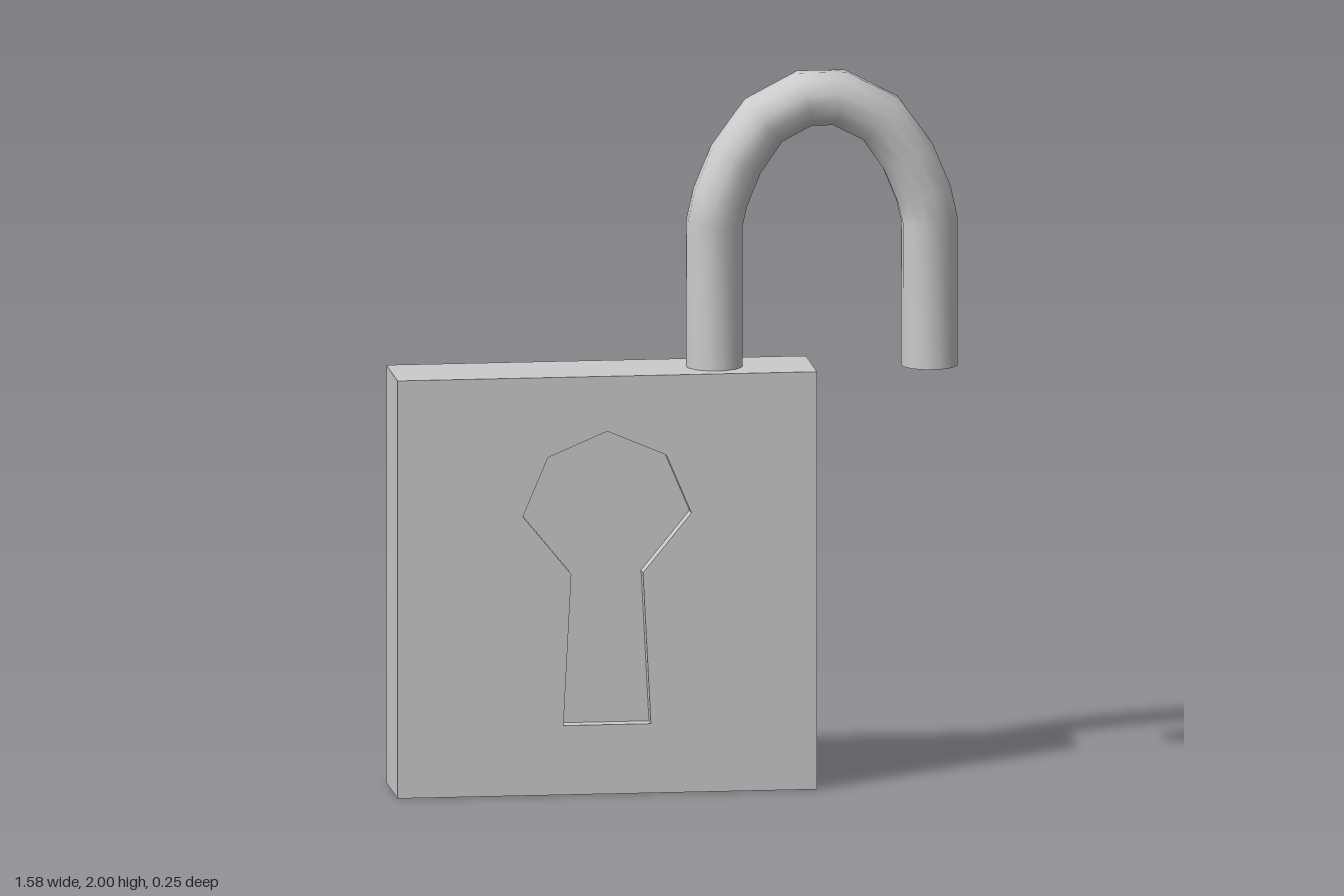
import * as THREE from 'three';

const grey = new THREE.MeshStandardMaterial({ color: 0xcccccc });

function add(group, name, geometry) {
  const mesh = new THREE.Mesh(geometry, grey);
  mesh.name = name;
  group.add(mesh);
  return mesh;
}

function bufferFrom(positions, index) {
  const g = new THREE.BufferGeometry();
  g.setAttribute('position', new THREE.Float32BufferAttribute(positions, 3));
  if (index) g.setIndex(index);
  g.computeVertexNormals();
  return g;
}

// Square body with a shallow keyhole pocket in its front
function createBody() {
  const body = new THREE.Group();
  body.name = 'body';
  const W = 1.17, H = 1.175, D = 0.25, pocket = 0.045;

  // Box without its front face, which is replaced by the pierced plate
  const box = new THREE.BoxGeometry(W, H, D);
  const kept = Array.from(box.index.array).filter((_, i) => i < 24 || i >= 30);
  box.setIndex(kept);
  box.clearGroups();
  add(body, 'bodyShell', box).position.y = H / 2;

  // Keyhole outline, anticlockwise: left half, then mirrored right half
  const half = [[-0.165, 0.95], [-0.235, 0.785], [-0.1, 0.62], [-0.122, 0.195]];
  const outline = [[0, 1.02], ...half, ...half.map(([x, y]) => [-x, y]).reverse()]
    .map(([x, y]) => new THREE.Vector2(x, y));

  const plate = new THREE.Shape([[-1, 0], [1, 0], [1, H], [-1, H]]
    .map(([s, y]) => new THREE.Vector2(s * W / 2, y)));
  plate.holes.push(new THREE.Path(outline));
  add(body, 'frontPlate', new THREE.ShapeGeometry(plate)).position.z = D / 2;
  add(body, 'keyholeFloor', new THREE.ShapeGeometry(new THREE.Shape(outline)))
    .position.z = D / 2 - pocket;

  // Pocket walls, facing inward
  const walls = [];
  const front = D / 2, back = D / 2 - pocket;
  outline.forEach((p, i) => {
    const q = outline[(i + 1) % outline.length];
    walls.push(p.x, p.y, front, q.x, q.y, front, p.x, p.y, back);
    walls.push(q.x, q.y, front, q.x, q.y, back, p.x, p.y, back);
  });
  add(body, 'keyholeWalls', bufferFrom(walls));

  body.position.x = -0.205;
  return body;
}

// Open shackle: one round section swept along a mirrored arch
function createShackle() {
  const shackle = new THREE.Group();
  shackle.name = 'shackle';
  const sides = 12, rx = 0.079, rz = 0.082, bottom = 1.165;
  const half = [[-0.3, bottom], [-0.3, 1.577], [-0.284, 1.648], [-0.24, 1.755],
    [-0.163, 1.863], [-0.048, 1.923]];
  const path = [...half, ...half.map(([x, y]) => [-x, y]).reverse()]
    .map(([x, y]) => new THREE.Vector2(x, y));

  const positions = [], index = [];
  path.forEach((p, i) => {
    // Average the neighbouring segment directions for a mitred joint
    const prev = path[Math.max(i - 1, 0)], next = path[Math.min(i + 1, path.length - 1)];
    const t = p.clone().sub(prev).normalize().add(next.clone().sub(p).normalize()).normalize();
    for (let j = 0; j < sides; j++) {
      const a = (j + 0.5) / sides * Math.PI * 2;
      const u = Math.cos(a) * rx;
      positions.push(p.x - t.y * u, p.y + t.x * u, Math.sin(a) * rz);
      if (i < path.length - 1) {
        const k = i * sides + j, m = i * sides + (j + 1) % sides;
        index.push(k, m, k + sides, m, m + sides, k + sides);
      }
    }
  });
  add(shackle, 'shackleBar', bufferFrom(positions, index));

  // Flat ends facing down
  for (const side of [-1, 1]) {
    const cap = add(shackle, side < 0 ? 'fixedEnd' : 'freeEnd',
      new THREE.CircleGeometry(1, sides, Math.PI / sides));
    cap.scale.set(rx, rz, 1);
    cap.rotation.x = Math.PI / 2;
    cap.position.set(side * 0.3, bottom, 0);
  }

  shackle.position.x = 0.409;
  return shackle;
}

export function createModel() {
  const model = new THREE.Group();
  model.name = 'openPadlock';
  model.add(createBody(), createShackle());
  return model;
}
